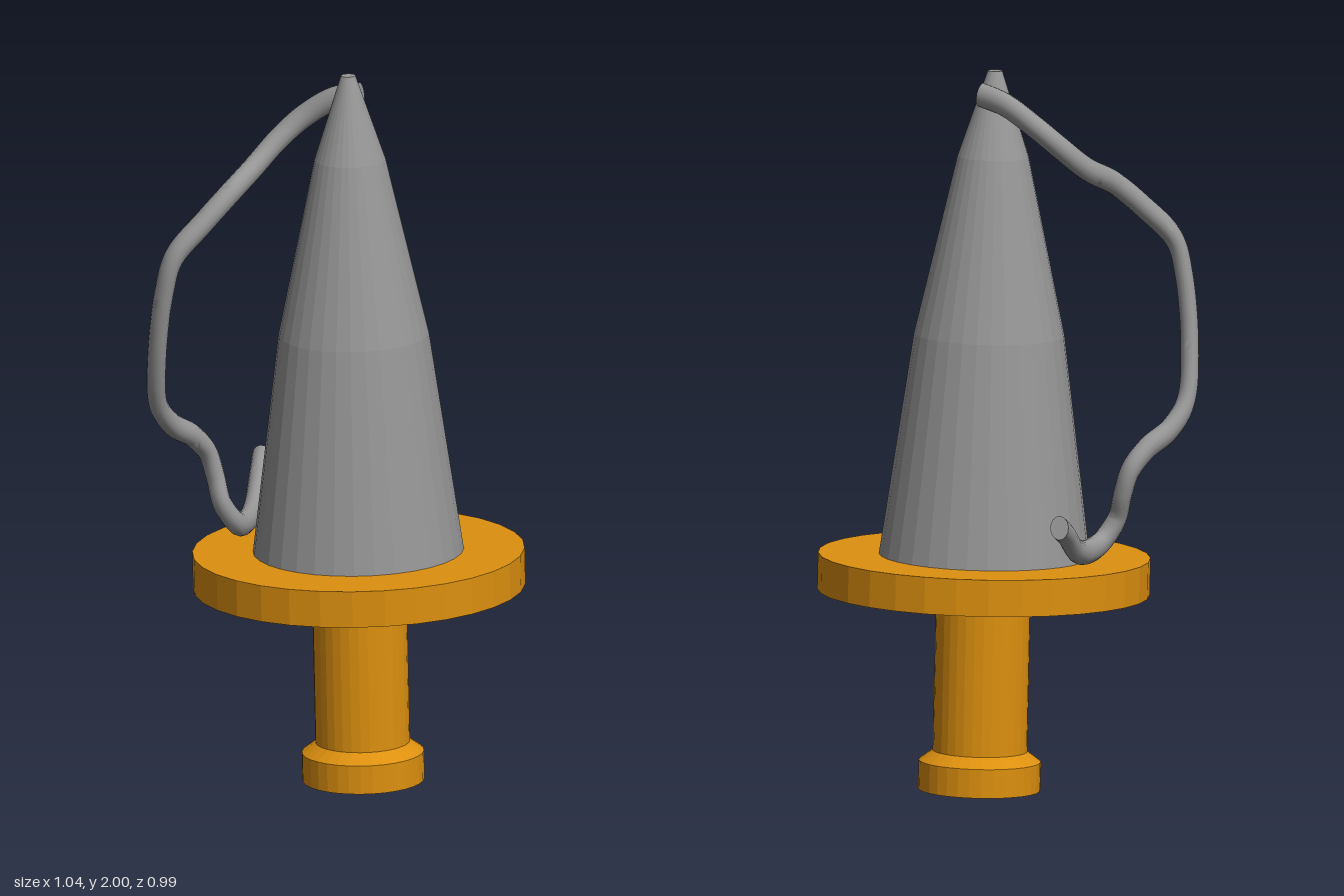
import * as THREE from 'three';
import { toCreasedNormals } from 'three/addons/utils/BufferGeometryUtils.js';

const SIDES = 32;

// Faceted turned part from [radius, height] pairs, bottom to top
function turned(name, profile, material) {
  const points = profile.map(([r, y]) => new THREE.Vector2(r, y));
  const geometry = new THREE.LatheGeometry(points, SIDES).toNonIndexed();
  geometry.computeVertexNormals();
  const mesh = new THREE.Mesh(geometry, material);
  mesh.name = name;
  return mesh;
}

// Closed cord with an oval section, narrowed along x
function cordGeometry(points, radius, narrow) {
  const steps = 160, sides = 14;
  const curve = new THREE.CatmullRomCurve3(points.map((p) => new THREE.Vector3(...p)));
  const geometry = new THREE.TubeGeometry(curve, steps, radius, sides);
  const position = geometry.attributes.position;
  const v = new THREE.Vector3();
  for (let i = 0; i <= steps; i++) {
    // The end rings sit on their neighbours' plane and collapse to close the ends
    const end = i === 0 || i === steps;
    const at = i === 0 ? 1 : i === steps ? steps - 1 : i;
    const centre = curve.getPointAt(at / steps);
    for (let j = 0; j <= sides; j++) {
      const k = i * (sides + 1) + j;
      v.fromBufferAttribute(position, k).sub(centre);
      v.x *= narrow;
      if (end) v.set(0, 0, 0);
      v.add(centre);
      position.setXYZ(k, v.x, v.y, v.z);
    }
  }
  return toCreasedNormals(geometry, 0.9);
}

export function createModel() {
  const orange = new THREE.MeshStandardMaterial({ color: 0xdd900f });
  orange.name = 'orange';
  const grey = new THREE.MeshStandardMaterial({ color: 0x969696 });
  grey.name = 'grey';

  const model = new THREE.Group();
  model.name = 'coneWithHandle';

  // Upright parts share one slightly tilted axis
  const body = new THREE.Group();
  body.name = 'body';
  body.position.set(0.077, 0.003, 0.045);
  body.rotation.z = 0.0225;
  body.add(
    turned('handle', [[0, 0], [0.168, 0], [0.168, 0.08], [0.13, 0.108], [0.13, 0.56]], orange),
    turned('guardDisc', [[0, 0.549], [0.457, 0.549], [0.457, 0.651], [0, 0.651]], orange),
    turned('cone', [[0.29, 0.65], [0.207, 1.265], [0.098, 1.76], [0.02, 1.997], [0, 1.997]], grey),
  );
  model.add(body);

  // Loose cord hanging from the tip round to the back
  const cord = new THREE.Mesh(cordGeometry([
    [0.085, 1.94, 0.035], [0.02, 1.915, -0.035], [-0.05, 1.86, -0.085],
    [-0.12, 1.8, -0.095], [-0.2, 1.735, -0.07], [-0.29, 1.685, -0.01],
    [-0.38, 1.61, 0.012], [-0.465, 1.52, 0.012], [-0.49, 1.42, 0.0],
    [-0.497, 1.22, -0.04], [-0.475, 1.08, -0.085], [-0.42, 1.01, -0.12],
    [-0.35, 0.965, -0.15], [-0.3, 0.91, -0.17], [-0.28, 0.84, -0.16],
    [-0.27, 0.77, -0.135], [-0.225, 0.71, -0.145], [-0.165, 0.695, -0.22],
    [-0.115, 0.715, -0.305], [-0.07, 0.77, -0.39], [-0.025, 0.81, -0.485],
  ], 0.034, 0.73), grey);
  cord.name = 'cord';
  model.add(cord);

  return model;
}
